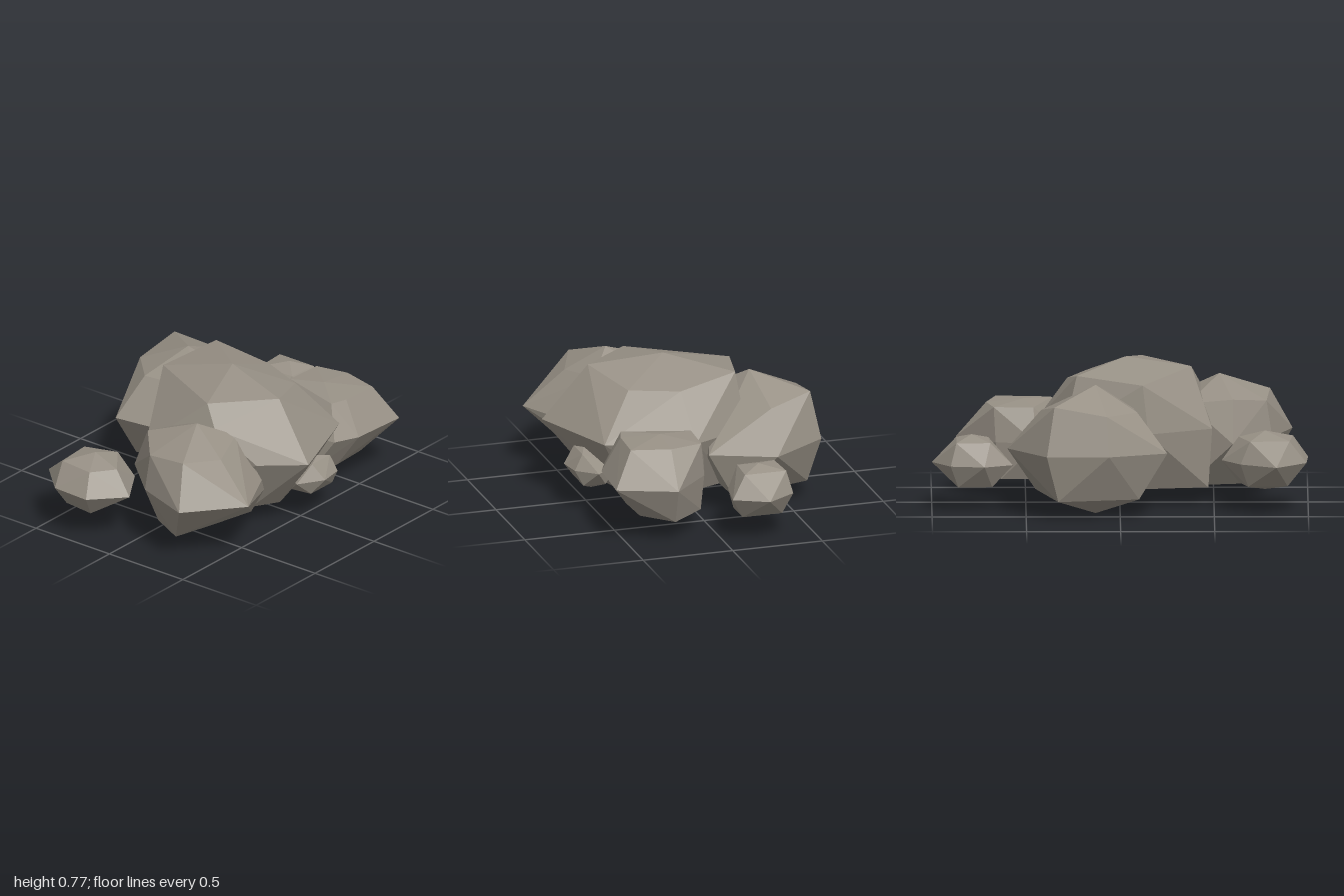
import * as THREE from 'three';
import { ConvexGeometry } from 'three/addons/geometries/ConvexGeometry.js';

const stone = new THREE.MeshStandardMaterial({ color: 0x989186 });
stone.name = 'warm grey stone';

// A faceted boulder wrapped around level cross-sections: [height, [x, z], [x, z], ...]
function boulder(name, layers) {
  const points = layers.flatMap(([y, ...ring]) => ring.map(([x, z]) => new THREE.Vector3(x, y, z)));
  const mesh = new THREE.Mesh(new ConvexGeometry(points), stone);
  mesh.name = name;
  return mesh;
}

export function createModel() {
  const group = new THREE.Group();
  group.name = 'rockCluster';

  // Large boulder in the middle
  group.add(boulder('centreBoulder', [
    [0.775, [-0.03, 0.06]],
    [0.72, [-0.12, 0.45], [0.23, -0.26]],
    [0.705, [-0.38, 0.17]],
    [0.68, [-0.12, -0.34]],
    [0.66, [0.18, 0.32], [0.28, 0.06]],
    [0.6, [-0.43, 0.26]],
    [0.42, [-0.17, 0.69], [0.33, 0.5], [0.46, 0.03], [0.3, -0.3], [-0.15, -0.36], [-0.49, -0.16], [-0.35, 0.48]],
    [0.1, [-0.47, -0.13], [-0.24, 0.36], [-0.1, 0.44], [0.22, 0.34], [0.33, 0.08], [0.2, -0.25]],
  ]));

  // Tall boulder at the back, pointed underneath
  group.add(boulder('backBoulder', [
    [0.69, [0.13, -0.37]],
    [0.61, [0.35, -0.64]],
    [0.56, [0.07, -0.65], [-0.09, -0.49], [0.42, -0.4], [-0.05, -0.2]],
    [0.35, [-0.25, -0.56], [0.06, -0.69], [0.39, -0.69], [0.6, -0.38], [0.46, -0.04], [-0.2, -0.2]],
    [0.1, [0.33, -0.63], [-0.1, -0.54], [0.45, -0.18], [-0.05, -0.16]],
    [0, [0.13, -0.37]],
  ]));

  // Boulder on the -x side
  group.add(boulder('rightBoulder', [
    [0.66, [-0.53, 0.22]],
    [0.56, [-0.8, 0.34], [-0.35, 0.34], [-0.6, -0.06]],
    [0.53, [-0.59, 0.43], [-0.78, 0.1], [-0.36, 0]],
    [0.335, [-0.92, 0.41], [-0.63, 0.65], [-0.33, 0.5], [-0.28, 0.1], [-0.6, -0.15], [-0.81, 0.09]],
    [0.24, [-0.26, 0.46]],
    [0.09, [-0.76, 0.26], [-0.53, 0.32], [-0.27, 0.38], [-0.36, 0], [-0.66, 0.06]],
  ]));

  // Boulder on the +x side
  group.add(boulder('leftBoulder', [
    [0.52, [0.51, 0.25]],
    [0.5, [0.36, 0.42], [0.45, 0.45], [0.66, 0.46], [0.71, 0.25], [0.67, 0.07], [0.46, 0.06]],
    [0.315, [0.75, 0.57], [0.43, 0.55], [0.3, 0.49], [0.25, 0.2], [0.44, -0.02], [0.66, 0.05], [0.87, 0.26]],
    [0.115, [0.63, 0.4], [0.42, 0.41], [0.28, 0.35], [0.42, 0.06], [0.63, 0.06], [0.785, 0.25]],
  ]));

  // Small loose stones
  group.add(boulder('backLeftStone', [
    [0.4, [0.79, -0.21]],
    [0.37, [0.87, -0.34], [0.87, -0.11], [0.7, -0.12], [0.69, -0.33]],
    [0.25, [0.57, -0.32], [0.72, -0.4], [0.9, -0.37], [1, -0.21], [0.91, -0.03], [0.73, -0.06], [0.6, -0.19]],
    [0.13, [0.86, -0.32], [0.86, -0.1], [0.7, -0.1], [0.68, -0.31]],
  ]));
  group.add(boulder('backRightStone', [
    [0.43, [-0.77, -0.28]],
    [0.39, [-0.9, -0.4], [-0.69, -0.42], [-0.63, -0.24], [-0.8, -0.11], [-0.92, -0.2]],
    [0.27, [-0.83, -0.55], [-0.64, -0.43], [-0.54, -0.28], [-0.61, -0.14], [-0.83, 0], [-1, -0.16], [-0.99, -0.38]],
    [0.145, [-0.91, -0.2], [-0.89, -0.38], [-0.68, -0.4], [-0.63, -0.23]],
    [0.11, [-0.77, -0.25]],
  ]));
  group.add(boulder('frontStone', [
    [0.335, [0.09, 0.54]],
    [0.32, [0.01, 0.57], [0.16, 0.57]],
    [0.235, [-0.095, 0.55], [0.04, 0.635], [0.17, 0.615], [0.26, 0.51], [0.16, 0.38], [0, 0.38]],
    [0.15, [0, 0.57], [0.18, 0.57], [0.19, 0.45], [-0.02, 0.45]],
    [0.105, [0.09, 0.5]],
  ]));
  return group;
}
